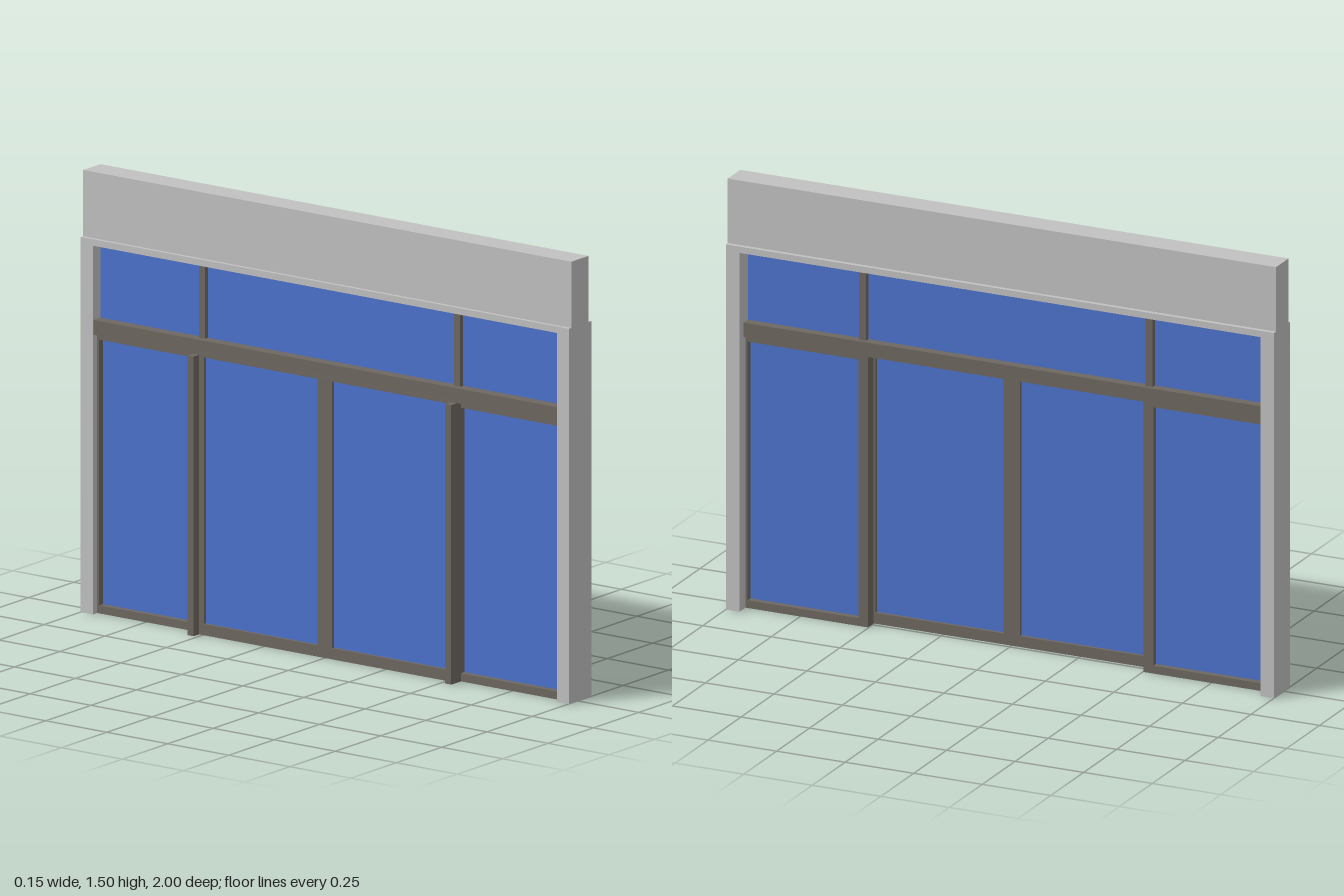
import * as THREE from 'three';

const material = (name, color) => {
  const m = new THREE.MeshStandardMaterial({ color });
  m.name = name;
  return m;
};

export function createModel() {
  const model = new THREE.Group();
  model.name = 'slidingDoorFront';
  const concrete = material('paleConcrete', 0xc1c1c1);
  const metal = material('brownMetal', 0x6d6760);
  const glass = material('blueGlass', 0x4d72cd);

  // Box given by its limits along x, y and z
  function box(name, mat, [x0, x1], [y0, y1], [z0, z1], parent = model) {
    const mesh = new THREE.Mesh(new THREE.BoxGeometry(x1 - x0, y1 - y0, z1 - z0), mat);
    mesh.position.set((x0 + x1) / 2, (y0 + y1) / 2, (z0 + z1) / 2);
    mesh.name = name;
    parent.add(mesh);
  }

  const rectangle = (path, a0, a1, b0, b1) =>
    path.moveTo(a0, b0).lineTo(a1, b0).lineTo(a1, b1).lineTo(a0, b1).closePath();

  // Metal frame around a pane; the profile lies in the z-y plane
  function framedPane(name, x, y, z, paneY, paneZ) {
    const group = new THREE.Group();
    group.name = name;
    const shape = new THREE.Shape();
    rectangle(shape, -z[1], -z[0], y[0], y[1]);
    const hole = new THREE.Path();
    rectangle(hole, -paneZ[1], -paneZ[0], paneY[0], paneY[1]);
    shape.holes.push(hole);
    const geometry = new THREE.ExtrudeGeometry(shape, { depth: x[1] - x[0], bevelEnabled: false });
    geometry.rotateY(Math.PI / 2).translate(x[0], 0, 0);
    const frame = new THREE.Mesh(geometry, metal);
    frame.name = 'frame';
    group.add(frame);
    const mid = (x[0] + x[1]) / 2;
    box('pane', glass, [mid - 0.006, mid + 0.006], paneY, paneZ, group);
    model.add(group);
  }

  // Mirror a z range to the other side
  const side = (s, a, b) => (s > 0 ? [a, b] : [-b, -a]);

  // Concrete surround with a narrower upper wall
  box('upperWall', concrete, [-0.035, 0.06], [1.275, 1.5], [-1, 1]);
  box('lintel', concrete, [-0.048, 0.075], [1.253, 1.275], [-1, 1]);

  for (const s of [1, -1]) {
    box('jamb', concrete, [-0.048, 0.075], [0, 1.253], side(s, 0.95, 1));
    // Fixed side panels stand forward of the sliding doors
    framedPane('sidePanel', [-0.025, 0.03], [0, 0.95], side(s, 0.503, 0.95),
      [0.027, 0.93], side(s, 0.538, 0.942));
    framedPane('slidingDoor', [-0.048, -0.014], [0, 0.955], side(s, 0, 0.52),
      [0.038, 0.944], side(s, 0.03, 0.496));
    box('rearPost', metal, [-0.078, -0.02], [0, 0.95], side(s, 0.515, 0.54));
    box('transomMullion', metal, [-0.022, 0.03], [1, 1.253], side(s, 0.51, 0.535));
  }

  // Transom bar and the window above it
  box('transomBar', metal, [-0.046, 0.045], [0.95, 1], [-0.95, 0.95]);
  box('transomGlass', glass, [-0.006, 0.012], [1, 1.253], [-0.95, 0.95]);

  return model;
}
